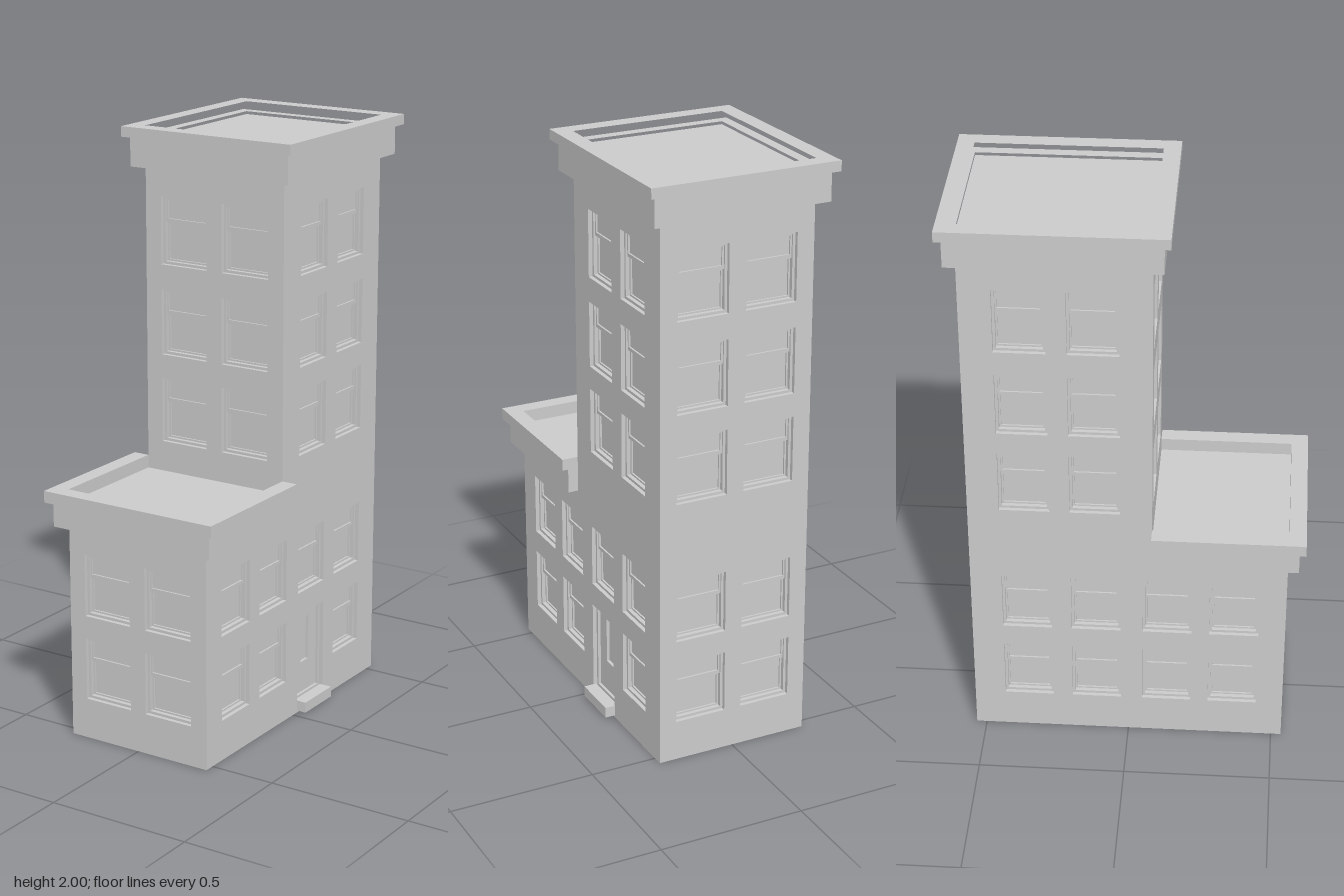
import * as THREE from 'three';

const MAT = new THREE.MeshStandardMaterial({ color: 0xcccccc, flatShading: true });
const T = 0.04; // wall thickness, also the depth of the openings
const HALF = 0.27, BACK = -0.535, STEP = 0.08, FRONT = 0.535; // footprint
const LOW_ROOF = 0.82, TOP_ROOF = 1.955;

// Floors as [sill, head]
const LOW_FLOORS = [[0.14, 0.355], [0.435, 0.65]];
const HIGH_FLOORS = [[0.925, 1.15], [1.23, 1.455], [1.54, 1.77]];

const poly = (pts, Type = THREE.Shape) => new Type(pts.map(([x, y]) => new THREE.Vector2(x, y)));
const rect = (x0, y0, x1, y1) => [[x0, y0], [x1, y0], [x1, y1], [x0, y1]];

function add(parent, name, geometry, x = 0, y = 0, z = 0) {
  const mesh = new THREE.Mesh(geometry, MAT);
  mesh.name = name;
  mesh.position.set(x, y, z);
  parent.add(mesh);
  return mesh;
}

// Box given by its limits
function box(parent, name, x0, x1, y0, y1, z0, z1) {
  return add(parent, name, new THREE.BoxGeometry(x1 - x0, y1 - y0, z1 - z0),
    (x0 + x1) / 2, (y0 + y1) / 2, (z0 + z1) / 2);
}

// Flat plate with holes, from depth z0 to z1
function plate(parent, name, outline, holes, z0, z1) {
  const shape = poly(outline);
  shape.holes = holes.map((h) => poly(h, THREE.Path));
  const geometry = new THREE.ExtrudeGeometry(shape, { depth: z1 - z0, bevelEnabled: false });
  return add(parent, name, geometry, 0, 0, z0);
}

// Sash window: outer frame, upper sash in front of the lower sash
function addWindow(parent, [x0, y0, x1, y1]) {
  const g = new THREE.Group();
  g.name = 'window';
  const f = 0.009, s = 0.006;
  const a = x0 + f, b = x1 - f, lo = y0 + f, hi = y1 - f;
  const mid = y0 + (y1 - y0) * 0.64;
  plate(g, 'windowFrame', rect(x0, y0, x1, y1), [rect(a, lo, b, hi)], -T, -0.014);
  plate(g, 'upperSash', rect(a, mid - s, b, hi), [rect(a + s, mid + s, b - s, hi - s)], -T, -0.02);
  box(g, 'upperPane', a + s, b - s, mid, hi - s, -T, -0.026);
  plate(g, 'lowerSash', rect(a, lo, b, mid - s), [rect(a + s, lo + s, b - s, mid - 2 * s)], -T, -0.028);
  box(g, 'lowerPane', a + s, b - s, lo + s, mid - 2 * s, -T, -0.034);
  parent.add(g);
}

// Panelled door with a narrow light
function addDoor(parent, [x0, y0, x1, y1]) {
  const g = new THREE.Group();
  g.name = 'door';
  const f = 0.01, c = (x0 + x1) / 2;
  const light = rect(c - 0.025, 0.16, c + 0.025, 0.32);
  plate(g, 'doorFrame', rect(x0, y0, x1, y1), [rect(x0 + f, y0 + f, x1 - f, y1 - f)], -T, -0.014);
  plate(g, 'doorLeaf', rect(x0 + f, y0 + f, x1 - f, y1 - f), [light], -T, -0.024);
  box(g, 'doorLight', c - 0.025, c + 0.025, 0.16, 0.32, -T, -0.034);
  parent.add(g);
}

// Wall whose outer face lies on local z = 0
function addWall(parent, name, outline, windows, door) {
  const g = new THREE.Group();
  g.name = name;
  const openings = door ? [...windows, door] : windows;
  plate(g, 'wallFace', outline, openings.map((o) => rect(...o)), -T, 0);
  windows.forEach((w) => addWindow(g, w));
  if (door) addDoor(g, door);
  parent.add(g);
  return g;
}

// Window rectangles for every column centre on every floor
const grid = (centres, floors, w) =>
  centres.flatMap((c) => floors.map(([y0, y1]) => [c - w / 2, y0, c + w / 2, y1]));

// Horizontal band from a plan drawn in x, z
function band(parent, name, outline, holes, y0, y1) {
  const flip = (pts) => pts.map(([x, z]) => [x, -z]);
  const mesh = plate(parent, name, flip(outline), holes.map(flip), 0, y1 - y0);
  mesh.rotation.x = -Math.PI / 2;
  mesh.position.set(0, y0, 0);
}

export function createModel() {
  const model = new THREE.Group();
  model.name = 'building';

  // Solid core behind the walls
  const c = HALF - T;
  box(model, 'towerCore', -c, c, 0, TOP_ROOF, BACK + T, STEP - T);
  box(model, 'annexCore', -c, c, 0, LOW_ROOF, STEP - T, FRONT - T);

  // Front and back walls fit between the side walls
  const cols = [-0.12, 0.12], w = 0.18;
  addWall(model, 'annexFrontWall', rect(-c, 0, c, LOW_ROOF), grid(cols, LOW_FLOORS, w)).position.z = FRONT;
  addWall(model, 'towerFrontWall', rect(-c, LOW_ROOF, c, TOP_ROOF), grid(cols, HIGH_FLOORS, w)).position.z = STEP;
  const back = addWall(model, 'backWall', rect(-c, 0, c, TOP_ROOF),
    grid(cols, [...LOW_FLOORS, ...HIGH_FLOORS], w));
  back.position.z = BACK;
  back.rotation.y = Math.PI;

  // Stepped side walls; the door is on +x only
  for (const side of [1, -1]) {
    const u = (z) => -side * z;
    const outline = [[u(BACK), 0], [u(FRONT), 0], [u(FRONT), LOW_ROOF], [u(STEP), LOW_ROOF],
      [u(STEP), TOP_ROOF], [u(BACK), TOP_ROOF]];
    const towerCols = [u(-0.11), u(-0.345)], annexCols = [u(0.36), u(0.132)];
    let windows = [...grid(annexCols, LOW_FLOORS, 0.168),
      ...grid(towerCols, [...LOW_FLOORS, ...HIGH_FLOORS], 0.168)];
    let door = null;
    if (side === 1) {
      windows = windows.filter(([x0, y0]) => !(y0 === 0.14 && Math.abs(x0 + 0.084 - towerCols[0]) < 0.01));
      door = [towerCols[0] - 0.084, 0.04, towerCols[0] + 0.084, 0.355];
    }
    const wall = addWall(model, side === 1 ? 'leftWall' : 'rightWall', outline, windows, door);
    wall.position.x = side * HALF;
    wall.rotation.y = side * Math.PI / 2;
  }
  box(model, 'doorStep', HALF - 0.01, 0.305, 0.008, 0.045, -0.195, -0.025);

  // Tower cornice, a ring in two tiers that forms the parapet
  for (const [name, o, y0, y1] of [['towerCornice', 0.036, 1.865, 1.965], ['towerCoping', 0.057, 1.965, 2]]) {
    band(model, name, rect(-HALF - o, BACK - o, HALF + o, STEP + o),
      [rect(-HALF, BACK, HALF, STEP)], y0, y1);
  }

  // Annex cornice, open where it meets the tower
  for (const [name, o, y0, y1] of [['annexCornice', 0.036, 0.74, 0.825], ['annexCoping', 0.057, 0.825, 0.865]]) {
    const x = HALF + o, z = FRONT + o;
    band(model, name, [[-x, STEP], [-x, z], [x, z], [x, STEP], [HALF, STEP], [HALF, FRONT],
      [-HALF, FRONT], [-HALF, STEP]], [], y0, y1);
  }
  return model;
}
